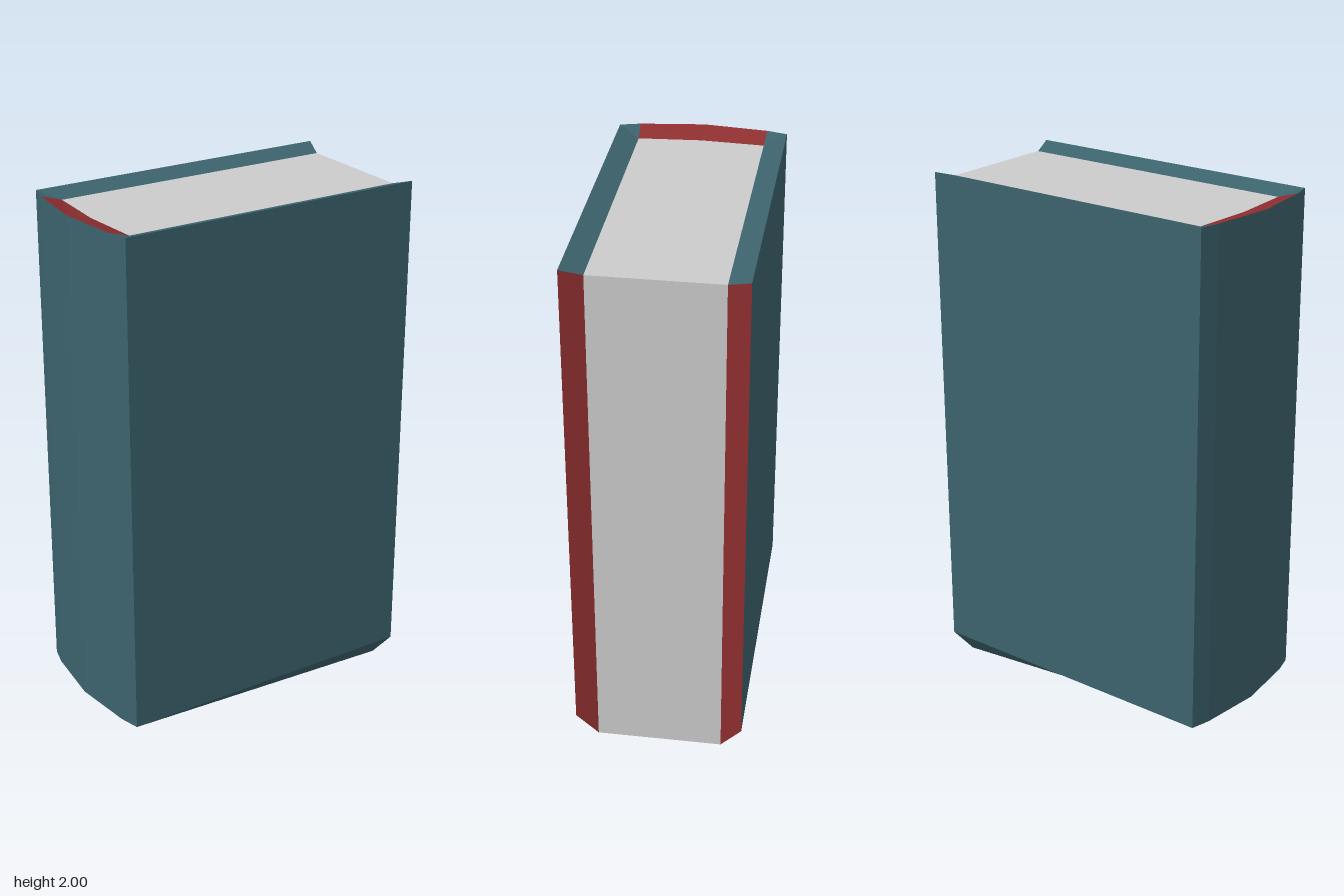
import * as THREE from 'three';

// Named corners of one half (z >= 0); capitals are the top, lower case the bottom.
const P = {
  A: [-0.57, 2, 0.315], a: [-0.57, 0.1, 0.315],    // spine edge of the cover
  B: [-0.59, 2, 0.24], b: [-0.59, 0.1, 0.24],      // shoulder of the spine
  C: [-0.617, 2, 0], c: [-0.617, 0.1, 0],          // middle of the rounded spine
  D: [0.615, 2, 0.315], d: [0.615, 0.1, 0.315],    // fore-edge corner of the cover
  E: [0.59, 1.975, 0.235], e: [0.59, 0, 0.235],    // page corner at the fore edge
  M: [0.59, 1.975, 0], m: [0.59, 0, 0],            // page middle at the fore edge
  F: [-0.51, 1.975, 0.235], G: [-0.525, 1.975, 0], // page top next to the spine
};

// Each face is a string of corners, counter-clockwise from outside.
function halfGeometry(faces, side) {
  const pos = [];
  for (const face of faces) {
    const pts = [...face].map((k) => [P[k][0], P[k][1], P[k][2] * side]);
    if (side < 0) pts.reverse();
    for (let i = 1; i < pts.length - 1; i++) pos.push(...pts[0], ...pts[i], ...pts[i + 1]);
  }
  const geo = new THREE.BufferGeometry();
  geo.setAttribute('position', new THREE.Float32BufferAttribute(pos, 3));
  geo.computeVertexNormals();
  return geo;
}

export function createModel() {
  const model = new THREE.Group();
  model.name = 'book';
  const material = (color) => new THREE.MeshStandardMaterial({ color, flatShading: true });
  const cloth = material(0x3c636d);
  const lining = material(0x8e2e30);
  const paper = material(0xcccccc);

  const parts = [
    ['cover', cloth, ['adDA', 'ADEF', 'AFB', 'abed']], // board with its top and bottom bevels
    ['spine', cloth, ['baAB', 'cbBC']],                // rounded back
    ['spineLining', lining, ['BFGC']],                 // slope from the spine down to the pages
    ['coverEdge', lining, ['deED']],                   // bevelled fore edge of the board
    ['pages', paper, ['FEMG', 'emME', 'bcme']],        // top, fore edge and sloping bottom
  ];

  // Front and back halves are mirror images
  for (const [name, mat, faces] of parts) {
    for (const side of [1, -1]) {
      const mesh = new THREE.Mesh(halfGeometry(faces, side), mat);
      mesh.name = (side > 0 ? 'front ' : 'back ') + name;
      model.add(mesh);
    }
  }
  return model;
}
